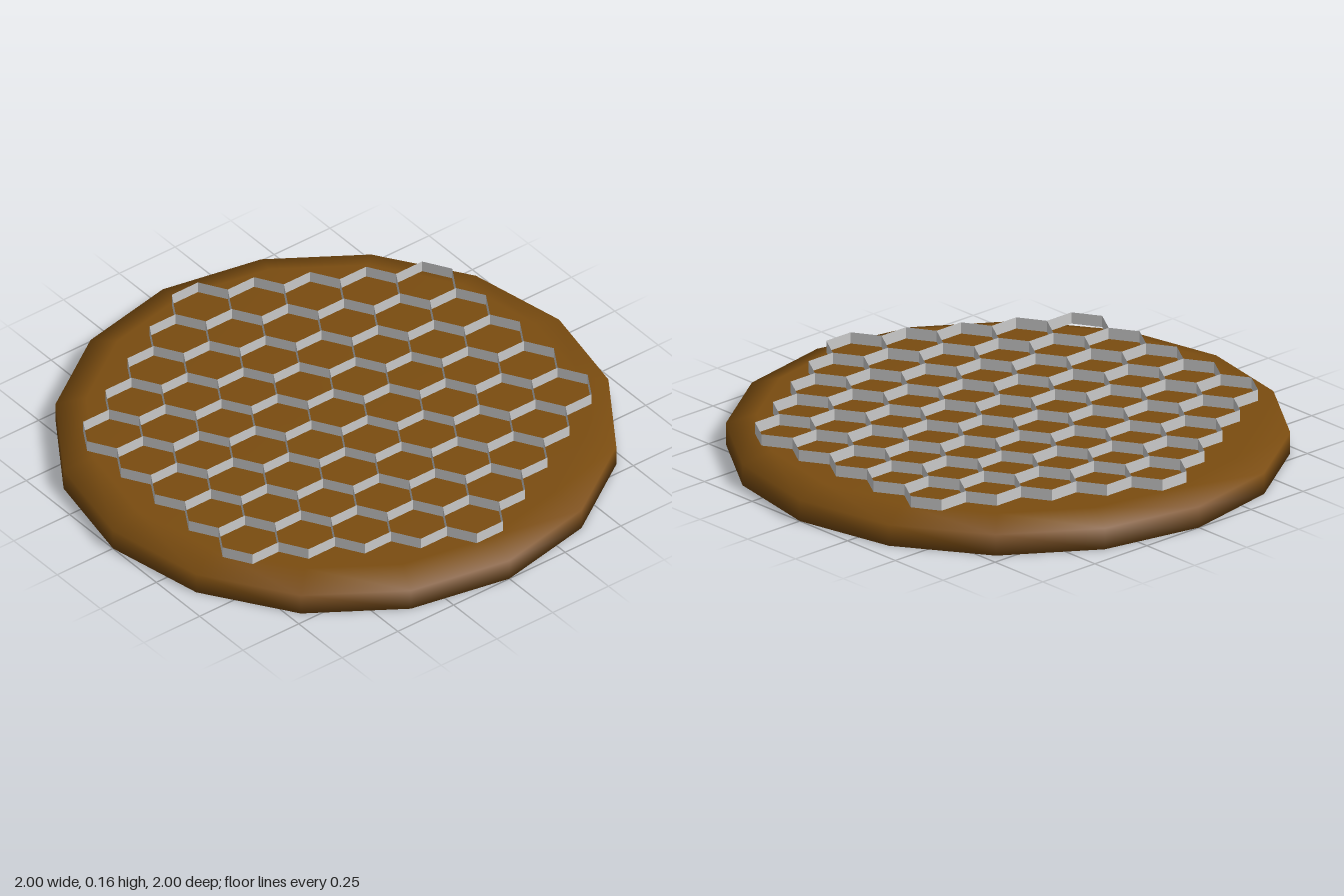
import * as THREE from 'three';
import { mergeGeometries } from 'three/addons/utils/BufferGeometryUtils.js';

const CELL_W = 0.1955;   // cell width along x
const CELL_R = 0.1169;   // cell centre to its point along z
const RINGS = 4;         // rings of cells around the middle one
const WALL_BOTTOM = 0.118, WALL_TOP = 0.161;

// Upright, paper-thin wall between two floor points
function wall(a, b) {
  const dx = b[0] - a[0], dz = b[1] - a[1];
  const g = new THREE.PlaneGeometry(Math.hypot(dx, dz), WALL_TOP - WALL_BOTTOM);
  g.rotateY(Math.atan2(-dz, dx));
  g.translate((a[0] + b[0]) / 2, (WALL_BOTTOM + WALL_TOP) / 2, (a[1] + b[1]) / 2);
  return g;
}

// Hexagonal field of six-sided cells; shared walls are made once
function honeycombGeometry() {
  const corners = [[0, 1], [0.5, 0.5], [0.5, -0.5], [0, -1], [-0.5, -0.5], [-0.5, 0.5]];
  const walls = new Map();
  for (let row = -RINGS; row <= RINGS; row++) {
    const count = 2 * RINGS + 1 - Math.abs(row);
    for (let i = 0; i < count; i++) {
      const cx = (i - (count - 1) / 2) * CELL_W;
      const cz = row * 1.5 * CELL_R;
      const points = corners.map(([x, z]) => [cx + x * CELL_W, cz + z * CELL_R]);
      points.forEach((p, k) => {
        const q = points[(k + 1) % 6];
        const key = `${Math.round((p[0] + q[0]) * 500)},${Math.round((p[1] + q[1]) * 500)}`;
        if (!walls.has(key)) walls.set(key, wall(p, q));
      });
    }
  }
  return mergeGeometries([...walls.values()]);
}

export function createModel() {
  const model = new THREE.Group();
  model.name = 'honeycombDisc';

  // Sixteen-sided disc with a sloped rim
  const profile = [[0, 0], [1, 0], [1, 0.08], [0.89, 0.117], [0, 0.121]]
    .map(([r, y]) => new THREE.Vector2(r, y));
  const base = new THREE.Mesh(
    new THREE.LatheGeometry(profile, 16),
    new THREE.MeshStandardMaterial({ color: 0x7a4c10 })
  );
  base.name = 'base';
  model.add(base);

  // Honeycomb of open cells standing on the disc
  const honeycomb = new THREE.Mesh(
    honeycombGeometry(),
    new THREE.MeshStandardMaterial({ color: 0xcccccc, side: THREE.DoubleSide })
  );
  honeycomb.name = 'honeycomb';
  honeycomb.position.x = 0.008;
  model.add(honeycomb);

  return model;
}
